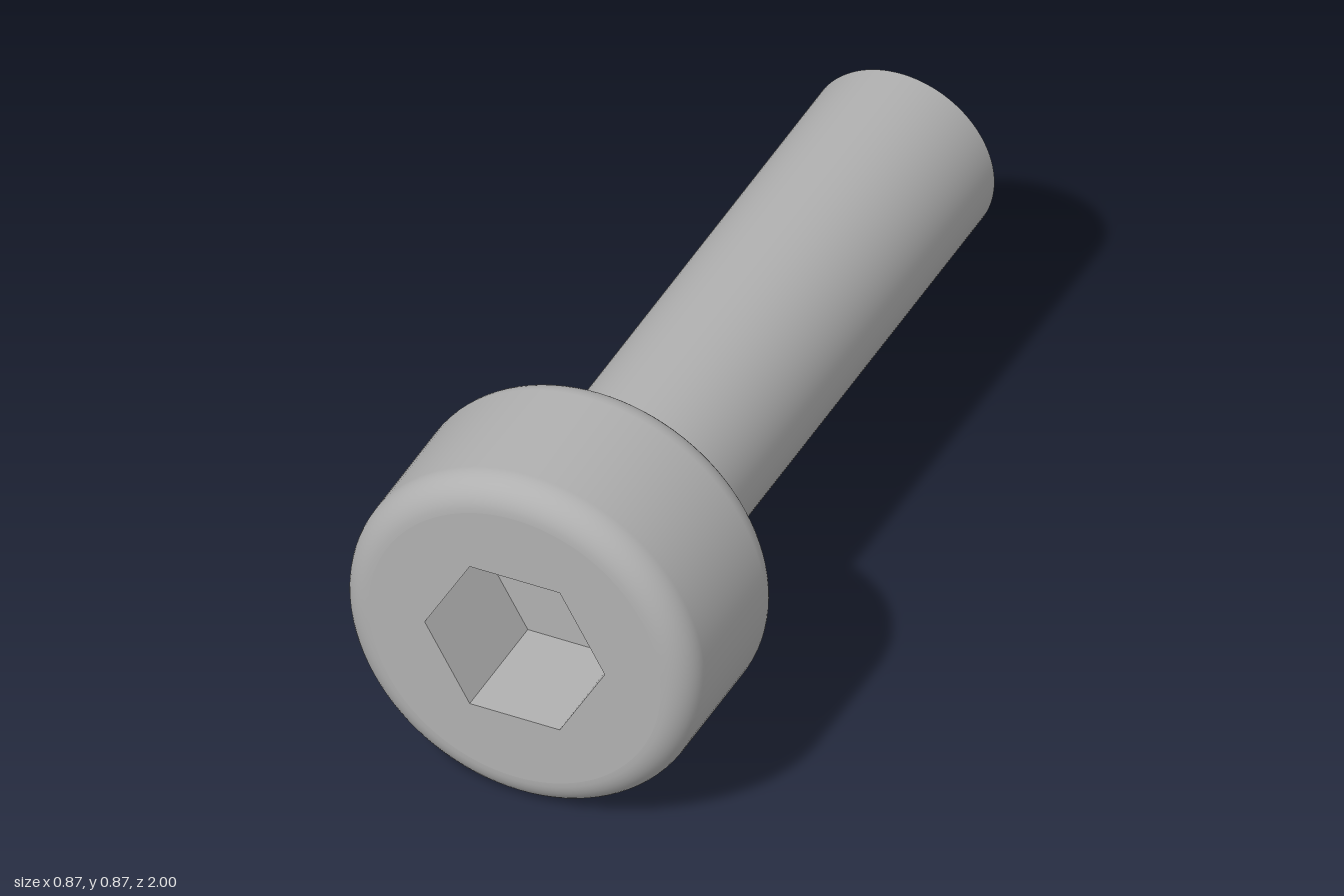
import * as THREE from 'three';

export function createModel() {
  const R = 0.437, FILLET = 0.075, HEAD_BACK = 0.54, FRONT = 1, BACK = -1;
  const SHAFT_R = 0.229, HEX_R = 0.223, HEX_DEPTH = 0.3, SEG = 96;

  const steel = new THREE.MeshStandardMaterial({ color: 0xb0b0b0 });
  steel.name = 'steel grey';

  const screw = new THREE.Group();
  screw.name = 'socketScrew';
  screw.position.y = R;

  const add = (name, geometry, z = 0) => {
    const mesh = new THREE.Mesh(geometry, steel);
    mesh.name = name;
    mesh.position.z = z;
    screw.add(mesh);
  };

  // points of a regular polygon, first corner on +x
  const ring = (radius, n) => Array.from({ length: n }, (_, i) => {
    const a = (i / n) * Math.PI * 2;
    return new THREE.Vector2(Math.cos(a) * radius, Math.sin(a) * radius);
  });

  // head side with a rounded edge at each end
  const profile = [];
  const fillet = (z, from) => {
    for (let i = 0; i <= 10; i++) {
      const a = from + (i / 10) * (Math.PI / 2);
      profile.push(new THREE.Vector2(R - FILLET + Math.cos(a) * FILLET, z + Math.sin(a) * FILLET));
    }
  };
  fillet(HEAD_BACK + FILLET, -Math.PI / 2);
  fillet(FRONT - FILLET, 0);
  add('headSide', new THREE.LatheGeometry(profile, SEG).rotateX(Math.PI / 2));

  // front face with the hexagonal opening
  const face = new THREE.Shape(ring(R - FILLET, SEG));
  face.holes.push(new THREE.Path(ring(HEX_R, 6).reverse()));
  add('headFace', new THREE.ShapeGeometry(face), FRONT);

  // underside of the head around the shaft
  add('headUnderside', new THREE.RingGeometry(SHAFT_R, R - FILLET, SEG).rotateY(Math.PI), HEAD_BACK);

  // socket walls, mirrored so that they face inwards
  const walls = new THREE.CylinderGeometry(HEX_R, HEX_R, HEX_DEPTH, 6, 1, true, Math.PI / 2)
    .rotateX(Math.PI / 2).scale(-1, 1, 1).toNonIndexed();
  walls.computeVertexNormals();
  add('socketWalls', walls, FRONT - HEX_DEPTH / 2);
  add('socketFloor', new THREE.CircleGeometry(HEX_R, 6), FRONT - HEX_DEPTH);

  // plain shaft and its flat end
  const length = HEAD_BACK - BACK;
  add('shaft', new THREE.CylinderGeometry(SHAFT_R, SHAFT_R, length, SEG, 1, true).rotateX(Math.PI / 2), BACK + length / 2);
  add('shaftEnd', new THREE.CircleGeometry(SHAFT_R, SEG).rotateY(Math.PI), BACK);

  const model = new THREE.Group();
  model.name = 'model';
  model.add(screw);
  return model;
}
